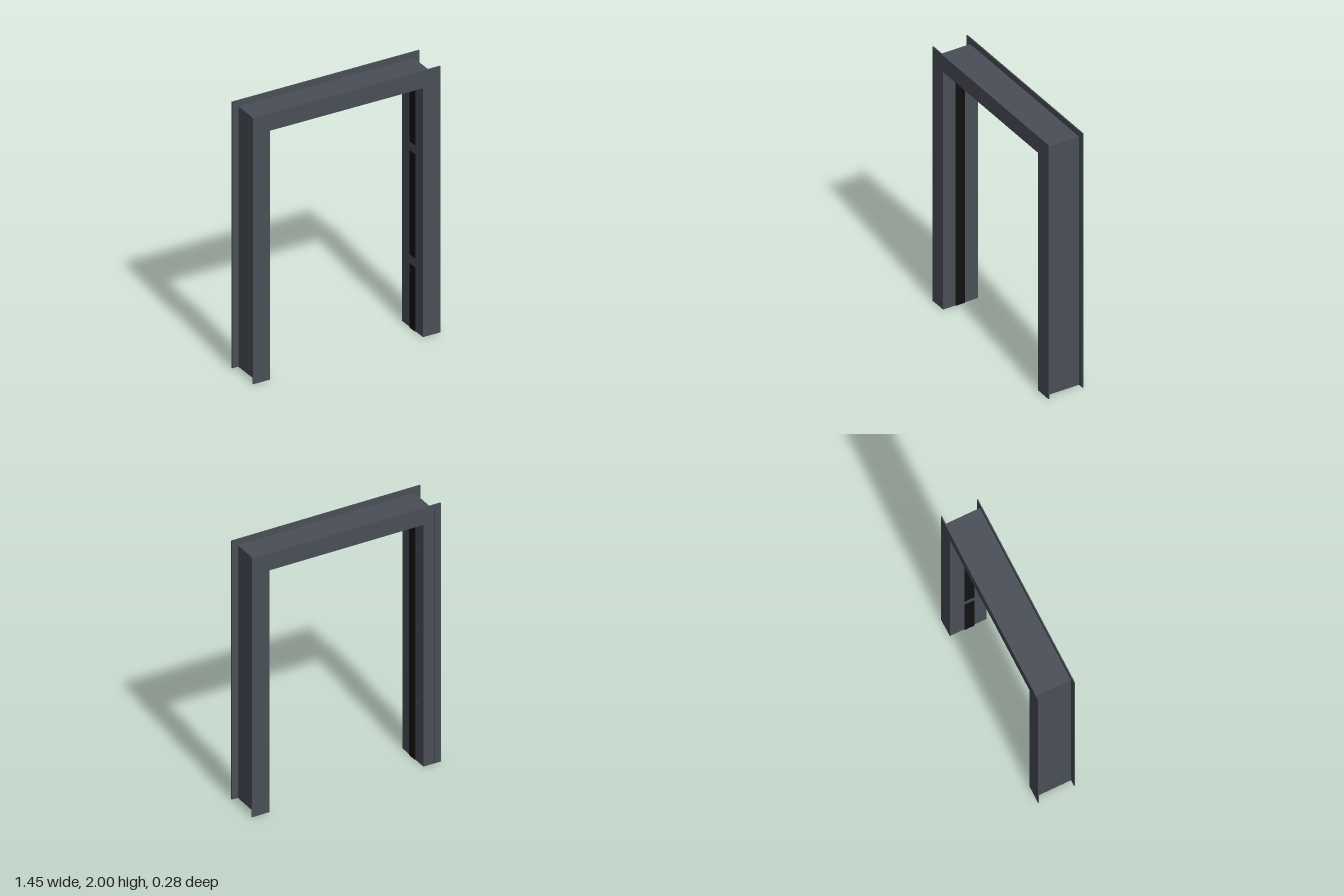
import * as THREE from 'three';

const steel = new THREE.MeshStandardMaterial({ color: 0x4a4e57 });
steel.name = 'slateSteel';
const rubber = new THREE.MeshStandardMaterial({ color: 0x111112 });
rubber.name = 'blackSeal';

// Upside-down U outline (outer and inner half width and top), extruded from z0 to z1
function portal(name, xOut, yOut, xIn, yIn, z0, z1, material) {
  const shape = new THREE.Shape([
    [-xOut, 0], [-xIn, 0], [-xIn, yIn], [xIn, yIn],
    [xIn, 0], [xOut, 0], [xOut, yOut], [-xOut, yOut],
  ].map(([x, y]) => new THREE.Vector2(x, y)));
  const geometry = new THREE.ExtrudeGeometry(shape, { depth: z1 - z0, bevelEnabled: false });
  geometry.translate(0, 0, z0);
  const mesh = new THREE.Mesh(geometry, material);
  mesh.name = name;
  return mesh;
}

function box(name, x0, x1, y0, y1, z0, z1, material) {
  const mesh = new THREE.Mesh(new THREE.BoxGeometry(x1 - x0, y1 - y0, z1 - z0), material);
  mesh.position.set((x0 + x1) / 2, (y0 + y1) / 2, (z0 + z1) / 2);
  mesh.name = name;
  return mesh;
}

export function createModel() {
  const model = new THREE.Group();
  model.name = 'doorFrame';

  const halfDepth = 0.138, jamb = 0.593, head = 1.869;

  // Jambs and header
  model.add(portal('frameLining', 0.68, 1.954, jamb, head, -halfDepth + 0.001, halfDepth - 0.001, steel));

  // Thin flanges around the front and the back
  model.add(portal('frontFlange', 0.726, 2, 0.68, 1.954, halfDepth - 0.008, halfDepth, steel));
  model.add(portal('backFlange', 0.726, 2, 0.68, 1.954, -halfDepth, -halfDepth + 0.008, steel));

  // Seal around the opening, interrupted twice on the left jamb
  const seal = new THREE.Group();
  seal.name = 'seal';
  const lip = 0.006, z0 = -0.03, z1 = 0.042;
  seal.add(box('rightSeal', -jamb, -jamb + lip, 0, head, z0, z1, rubber));
  seal.add(box('headSeal', -jamb, jamb, head - lip, head, z0, z1, rubber));
  for (const [y0, y1] of [[0, 0.48], [0.55, 1.33], [1.4, head]]) {
    seal.add(box('leftSeal', jamb - lip, jamb, y0, y1, z0, z1, rubber));
  }
  model.add(seal);

  // Hinge plates on the right jamb
  for (const y of [0.35, 0.94, 1.54]) {
    model.add(box('hingePlate', -jamb - 0.001, -jamb + 0.002, y - 0.1, y + 0.1, -0.088, -0.035, steel));
  }
  return model;
}
